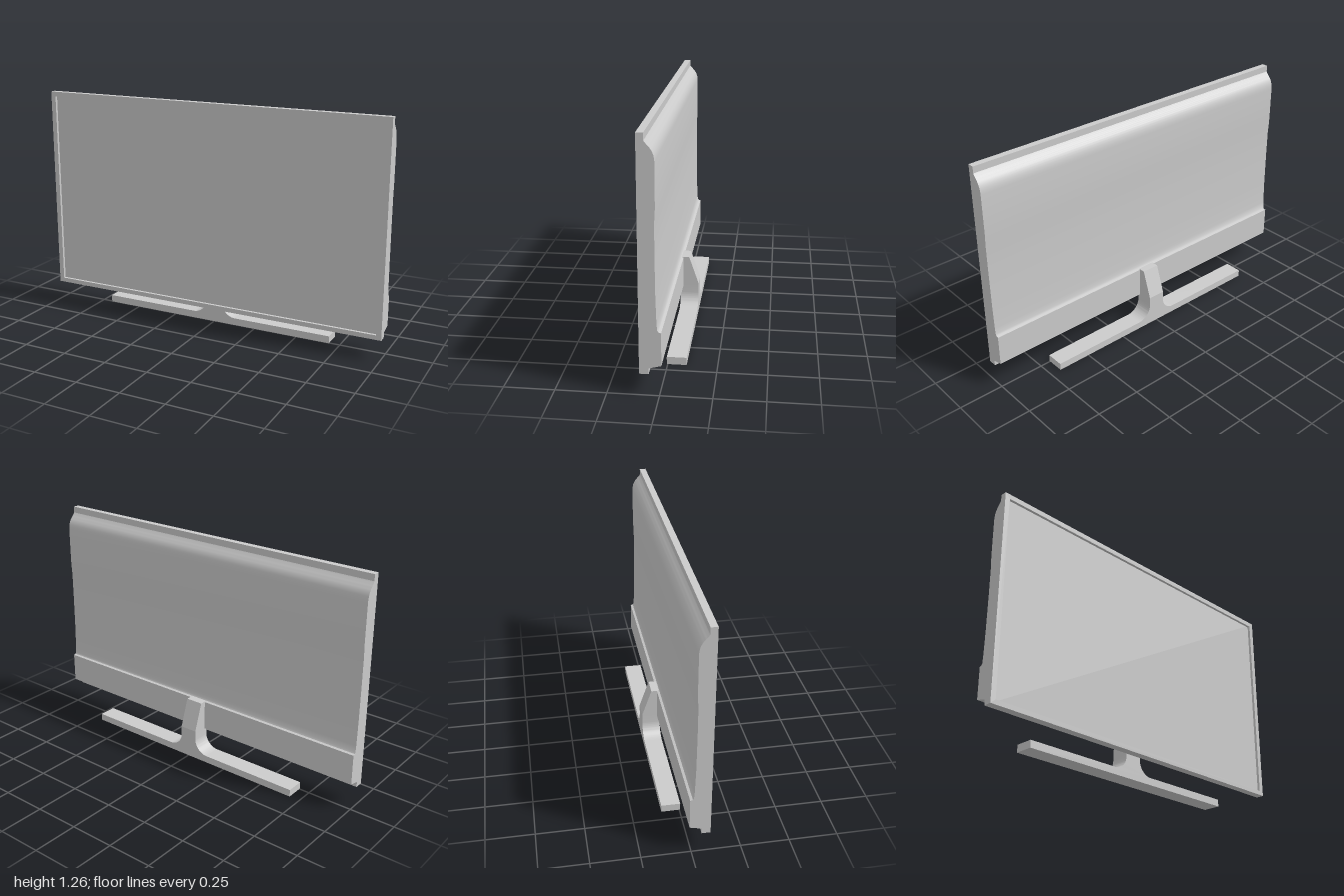
import * as THREE from 'three';
import { toCreasedNormals } from 'three/addons/utils/BufferGeometryUtils.js';

const material = new THREE.MeshStandardMaterial({ color: 0xcccccc });

function part(name, geometry) {
  const mesh = new THREE.Mesh(toCreasedNormals(geometry, 0.5), material);
  mesh.name = name;
  return mesh;
}

// Side profile of [z, y] points, swept across x
function sweepAcross(profile, halfWidth) {
  const shape = new THREE.Shape(profile.map(([z, y]) => new THREE.Vector2(-z, y)));
  return new THREE.ExtrudeGeometry(shape, { depth: halfWidth * 2, bevelEnabled: false })
    .translate(0, 0, -halfWidth)
    .rotateY(Math.PI / 2);
}

// Counter-clockwise rectangle
function rectangle(Type, x, y0, y1) {
  return new Type([[-x, y0], [x, y0], [x, y1], [-x, y1]].map(([a, b]) => new THREE.Vector2(a, b)));
}

export function createModel() {
  const group = new THREE.Group();
  const screenZ = 0.08, frontZ = 0.095;

  // Screen and rear housing: rounded shoulder on top, thick band at the bottom
  const shoulder = new THREE.CubicBezierCurve(
    new THREE.Vector2(0.06, 1.225), new THREE.Vector2(0.048, 1.203),
    new THREE.Vector2(0.014, 1.19), new THREE.Vector2(0.013, 1.13)
  ).getPoints(10).map((p) => [p.x, p.y]);
  group.add(part('housing', sweepAcross([
    [screenZ, 0.11], [0.05, 0.11], [0.05, 0.14], [-0.01, 0.155], [-0.01, 0.322],
    [0.003, 0.326], [0.008, 0.335], [0.011, 0.37], [0.015, 0.5], [0.017, 0.7],
    [0.017, 0.85], [0.013, 0.92],
    ...shoulder.reverse(),
    [0.06, 1.26], [screenZ, 1.26],
  ], 1)));

  // Raised bezel around the screen
  const bezel = rectangle(THREE.Shape, 1, 0.11, 1.26);
  bezel.holes.push(rectangle(THREE.Path, 0.972, 0.135, 1.233));
  group.add(part('bezel', new THREE.ExtrudeGeometry(bezel, { depth: frontZ - screenZ, bevelEnabled: false })
    .translate(0, 0, screenZ)));

  // Foot bar flowing into the stem through round fillets
  const foot = new THREE.Shape();
  const r = 0.08, stem = 0.05, footTop = 0.04, joint = 0.17;
  foot.moveTo(-0.69, 0);
  foot.lineTo(0.69, 0);
  foot.lineTo(0.69, footTop);
  foot.lineTo(stem + r, footTop);
  foot.absarc(stem + r, footTop + r, r, -Math.PI / 2, -Math.PI, true);
  foot.lineTo(stem, joint);
  foot.lineTo(-stem, joint);
  foot.lineTo(-stem, footTop + r);
  foot.absarc(-stem - r, footTop + r, r, 0, -Math.PI / 2, true);
  foot.lineTo(-0.69, footTop);
  group.add(part('standFoot', new THREE.ExtrudeGeometry(foot, { depth: 0.1, bevelEnabled: false, curveSegments: 12 })
    .translate(0, 0, -0.095)));

  // Upper stem with a sloping back
  group.add(part('standStem', sweepAcross([
    [0.003, joint], [-0.095, joint], [-0.042, 0.325], [0.003, 0.325],
  ], stem)));

  return group;
}
